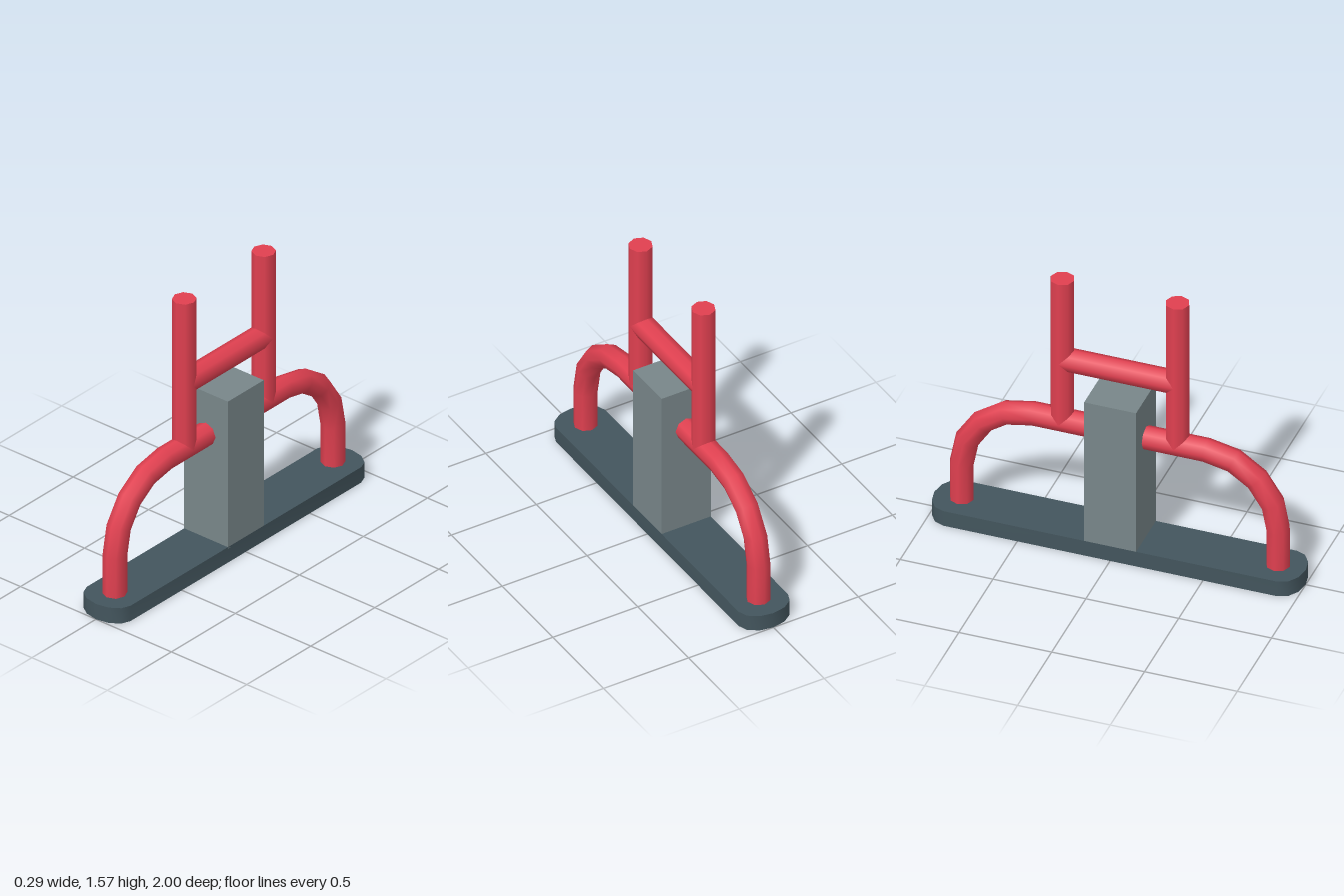
import * as THREE from 'three';
import { toCreasedNormals } from 'three/addons/utils/BufferGeometryUtils.js';

const R = 0.063; // pipe radius
const SIDES = 8;

// Bends a cylinder along a path of [z, y] points lying in the x = 0 plane.
function bentPipe(path) {
  const pts = path.map(([z, y]) => new THREE.Vector2(z, y));
  const geo = new THREE.CylinderGeometry(R, R, 1, SIDES, pts.length - 1, true);
  const pos = geo.attributes.position, nor = geo.attributes.normal;
  const rows = pts.map((p, i) => {
    const into = p.clone().sub(pts[Math.max(i - 1, 0)]).normalize();
    const out = pts[Math.min(i + 1, pts.length - 1)].clone().sub(p).normalize();
    const t = into.clone().add(out).normalize();
    const miter = 1 / Math.max(t.dot(into), t.dot(out));
    return { p, t, miter };
  });
  for (let i = 0; i < pos.count; i++) {
    const { p, t, miter } = rows[rows.length - 1 - Math.floor(i / (SIDES + 1))];
    const x = pos.getX(i), side = pos.getZ(i);
    const nz = t.y, ny = -t.x; // across the path
    pos.setXYZ(i, x, p.y + ny * side * miter, p.x + nz * side * miter);
    nor.setXYZ(i, x / R, ny * side / R, nz * side / R);
  }
  return geo;
}

export function createModel() {
  const red = new THREE.MeshStandardMaterial({ color: 0xe04050 });
  red.name = 'red paint';
  const grey = new THREE.MeshStandardMaterial({ color: 0x788689 });
  grey.name = 'grey block';
  const dark = new THREE.MeshStandardMaterial({ color: 0x43555d });
  dark.name = 'dark base';

  const model = new THREE.Group();
  model.name = 'barFrame';
  const add = (name, geo, material, x = 0, y = 0, z = 0) => {
    const mesh = new THREE.Mesh(geo, material);
    mesh.name = name;
    mesh.position.set(x, y, z);
    model.add(mesh);
    return mesh;
  };

  // Long base plate with rounded ends
  const outline = new THREE.Shape();
  outline.moveTo(0.145, -0.9);
  outline.lineTo(0.145, 0.9);
  outline.absellipse(0, 0.9, 0.145, 0.1, 0, Math.PI, false);
  outline.lineTo(-0.145, -0.9);
  outline.absellipse(0, -0.9, 0.145, 0.1, Math.PI, Math.PI * 2, false);
  const plate = new THREE.ExtrudeGeometry(outline, { depth: 0.09, bevelEnabled: false, curveSegments: 3 });
  plate.rotateX(-Math.PI / 2);
  add('basePlate', toCreasedNormals(plate, 0.8), dark);

  // Central block
  add('centreBlock', new THREE.BoxGeometry(0.29, 0.865, 0.28), grey, 0, 0.5125, 0);

  // Hoop rising from both ends of the plate
  const half = [[0.852, 0.05]];
  for (let i = 0; i <= 4; i++) {
    const a = i * Math.PI / 8;
    half.push([0.465 + 0.387 * Math.cos(a), 0.31 + 0.393 * Math.sin(a)]);
  }
  const mirrored = half.map(([z, y]) => [-z, y]).reverse();
  add('hoop', bentPipe([...half, ...mirrored]), red);

  // Uprights standing on the hoop
  for (const s of [1, -1]) {
    add(s > 0 ? 'frontUpright' : 'backUpright',
      new THREE.CylinderGeometry(R, R, 0.87, SIDES), red, 0, 1.138, s * 0.31);
  }

  // Crossbar between the uprights
  const bar = new THREE.CylinderGeometry(R, R, 0.62, SIDES);
  bar.rotateX(Math.PI / 2);
  add('crossbar', bar, red, 0, 1.08, 0);

  return model;
}
